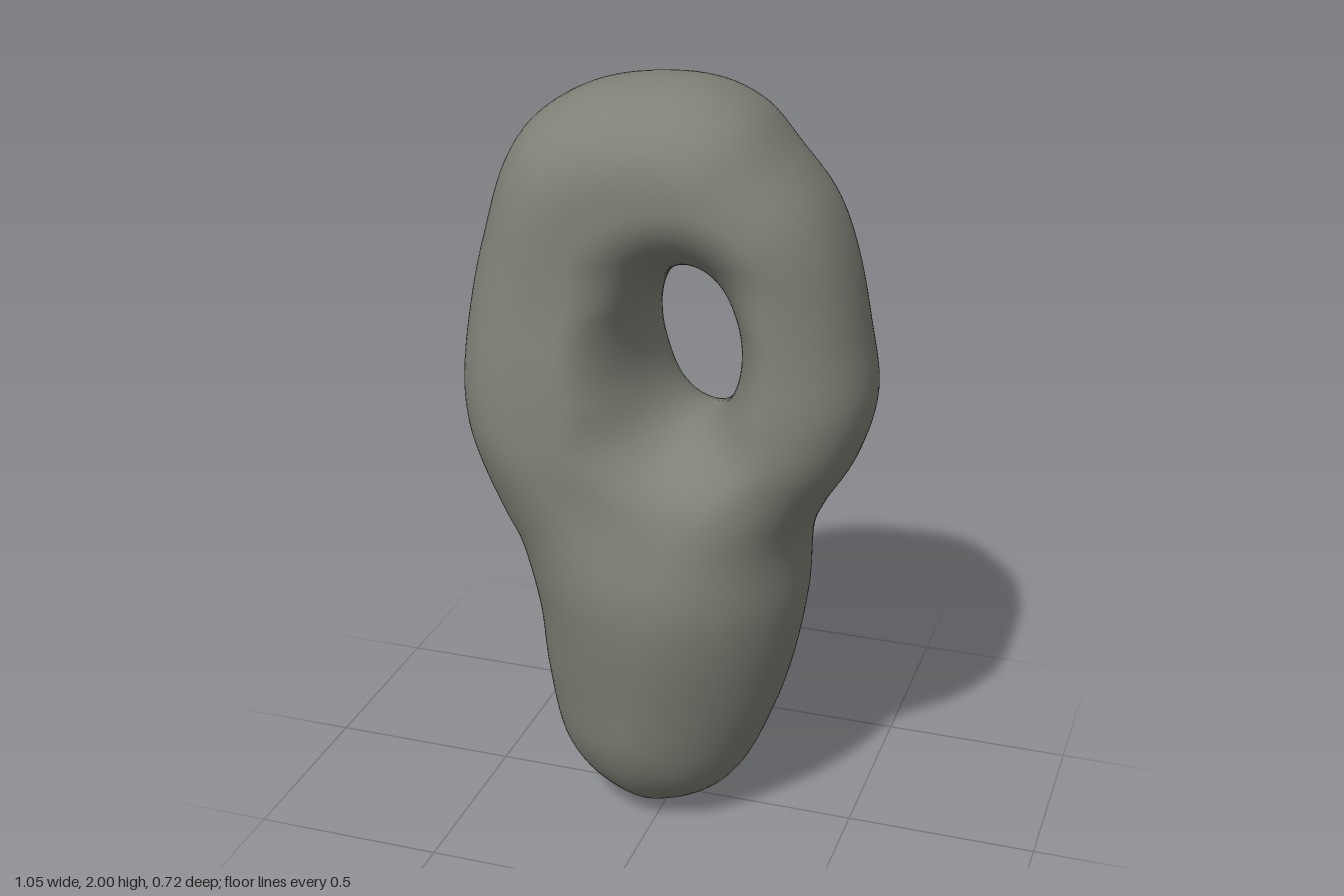
import * as THREE from 'three';

const { lerp, clamp, smoothstep } = THREE.MathUtils;

// Closed curve through a few points, sampled evenly by length
function closedCurve(points, n) {
  const curve = new THREE.CatmullRomCurve3(
    points.map(([x, y]) => new THREE.Vector3(x, y, 0)), true, 'centripetal');
  return curve.getSpacedPoints(n).slice(0, n);
}

// Shortest distance from (x, y) to a closed polyline
function edgeDistance(x, y, loop) {
  let best = Infinity;
  for (let i = 0; i < loop.length; i++) {
    const a = loop[i], b = loop[(i + 1) % loop.length];
    const dx = b.x - a.x, dy = b.y - a.y;
    const t = clamp(((x - a.x) * dx + (y - a.y) * dy) / (dx * dx + dy * dy), 0, 1);
    best = Math.min(best, Math.hypot(x - a.x - t * dx, y - a.y - t * dy));
  }
  return best;
}

// Rounded edge: 0 at the rim, 1 from the given radius inwards
function rounded(d, radius, p) {
  const u = Math.min(1, d / radius);
  return Math.pow(Math.max(0, 1 - Math.pow(1 - u, p)), 1 / p);
}

// Smooth depth by height
function depthCurve(points) {
  const curve = new THREE.SplineCurve(points.map(([y, z]) => new THREE.Vector2(y, z)));
  const table = curve.getPoints(200);
  return (y) => {
    let i = 1;
    while (i < table.length - 1 && table[i].x < y) i++;
    const a = table[i - 1], b = table[i];
    return lerp(a.y, b.y, clamp((y - a.x) / (b.x - a.x), 0, 1));
  };
}

const outline = [
  [0, 2], [-0.2, 1.97], [-0.34, 1.89], [-0.41, 1.79], [-0.467, 1.61], [-0.502, 1.46],
  [-0.527, 1.2], [-0.49, 1.0], [-0.44, 0.86], [-0.395, 0.77], [-0.352, 0.6], [-0.335, 0.4],
  [-0.29, 0.185], [-0.2, 0.07], [-0.04, 0], [0.12, 0.05], [0.2, 0.13], [0.275, 0.29],
  [0.325, 0.45], [0.36, 0.65], [0.372, 0.85], [0.41, 0.94], [0.48, 1.06], [0.523, 1.22],
  [0.5, 1.4], [0.455, 1.6], [0.395, 1.73], [0.305, 1.84], [0.22, 1.935], [0.12, 1.985],
];
const hole = { x: 0.07, y: 1.345, rx: 0.13, ry: 0.205 };

// Depth of the lower body, shared by all sides, then of each arm of the ring
const lower = [[0, 0.28], [0.2, 0.295], [0.4, 0.318], [0.6, 0.35], [0.75, 0.358]];
const frontRight = depthCurve([...lower, [0.9, 0.325], [1.05, 0.28], [1.25, 0.255],
  [1.5, 0.245], [1.75, 0.27], [2, 0.27]]);
const frontLeft = depthCurve([...lower, [0.93, 0.335], [1.1, 0.335], [1.3, 0.32],
  [1.5, 0.295], [1.75, 0.285], [2, 0.27]]);
const backRight = depthCurve([...lower, [0.9, 0.325], [1.1, 0.28], [1.3, 0.26],
  [1.55, 0.25], [1.73, 0.285], [2, 0.27]]);
const backLeft = depthCurve([...lower, [0.9, 0.335], [1.1, 0.31], [1.3, 0.3],
  [1.55, 0.25], [1.73, 0.295], [2, 0.27]]);

function piercedBody() {
  const N = 200, M = 80;
  const outer = closedCurve(outline, N);
  // Each rim point is paired with the hole point in the same direction
  const inner = outer.map((p) => {
    const a = Math.atan2((p.y - hole.y) / hole.ry, (p.x - hole.x) / hole.rx);
    return new THREE.Vector3(hole.x + hole.rx * Math.cos(a), hole.y + hole.ry * Math.sin(a), 0);
  });
  const pos = [], index = [];
  for (let i = 0; i < N; i++) {
    for (let j = 0; j < M; j++) {
      const phi = (j / M) * Math.PI * 2;
      const s = (1 - Math.cos(phi)) / 2;
      const x = lerp(inner[i].x, outer[i].x, s);
      const y = lerp(inner[i].y, outer[i].y, s);
      let z = 0;
      if (j !== 0 && j !== M / 2) {
        // Softer rim on the body, tighter on the ring; hole steep at its sides
        const rim = lerp(0.33, 0.23, smoothstep(y, 0.75, 1.15));
        const power = lerp(2, 2.25, smoothstep(y, 0.75, 1.15));
        const funnel = lerp(0.14, 0.19, smoothstep(Math.abs(y - hole.y), 0.1, 0.25));
        const round = rounded(edgeDistance(x, y, outer), rim, power)
          * rounded(edgeDistance(x, y, inner), funnel, 2.1);
        const side = smoothstep(x, -0.25, 0.25);
        z = round * (j < M / 2
          ? lerp(frontLeft(y), frontRight(y), side)
          : -lerp(backLeft(y), backRight(y), side));
      }
      pos.push(x, y, z);
      const i2 = (i + 1) % N, j2 = (j + 1) % M;
      const a = i * M + j, b = i * M + j2, c = i2 * M + j, d = i2 * M + j2;
      index.push(a, b, c, b, d, c);
    }
  }
  const geo = new THREE.BufferGeometry();
  geo.setAttribute('position', new THREE.Float32BufferAttribute(pos, 3));
  geo.setIndex(index);
  geo.computeVertexNormals();
  return geo;
}

export function createModel() {
  const group = new THREE.Group();
  group.name = 'piercedStone';
  const stone = new THREE.MeshStandardMaterial({ color: 0x7f8176 });
  stone.name = 'stoneGrey';
  const body = new THREE.Mesh(piercedBody(), stone);
  body.name = 'stoneBody';
  group.add(body);
  return group;
}
